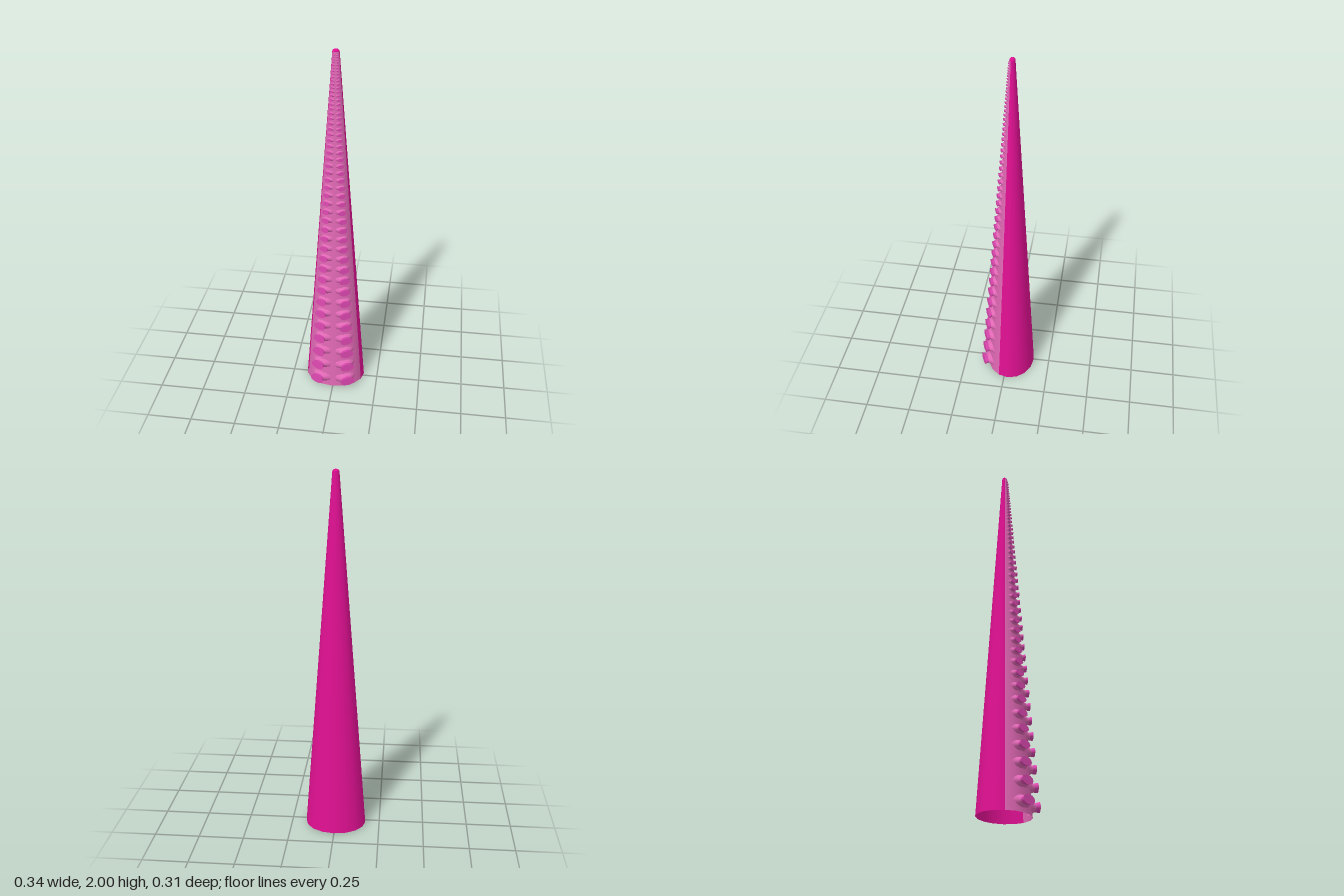
import * as THREE from 'three';

const HEIGHT = 2, BASE = 0.17, TIP = 0.018, DOME = 0.012;
const DEPTH = 0.81;       // front-to-back flattening of the cross-section
const AXIS_Z = -0.02;
const SIDE = THREE.MathUtils.degToRad(67.5); // where the two skins meet

const material = (name, color, side = THREE.FrontSide) => {
  const m = new THREE.MeshStandardMaterial({ color, side });
  m.name = name;
  return m;
};

export function createModel() {
  const magenta = material('magenta back skin', 0xe01092, THREE.DoubleSide);
  const pink = material('pale pink front skin', 0xe068b4, THREE.DoubleSide);
  const suckerPink = material('sucker pink', 0xdc48b0);

  const tentacle = new THREE.Group();
  tentacle.name = 'tentacle';
  const add = (parent, name, geometry, mat) => {
    const mesh = new THREE.Mesh(geometry, mat);
    mesh.name = name;
    parent.add(mesh);
    return mesh;
  };

  // Tapered skin, open at the bottom, in two arcs of a 16-sided tube
  const wall = HEIGHT - DOME;
  const skin = (name, start, length, segments, mat) => {
    const g = new THREE.CylinderGeometry(TIP, BASE, wall, segments, 24, true, start, length);
    g.translate(0, wall / 2, 0).scale(1, 1, DEPTH).translate(0, 0, AXIS_Z);
    add(tentacle, name, g, mat);
  };
  skin('frontSkin', -SIDE, 2 * SIDE, 6, pink);
  skin('backSkin', SIDE, 2 * Math.PI - 2 * SIDE, 10, magenta);

  // Rounded tip
  const dome = new THREE.SphereGeometry(TIP, 16, 5, 0, Math.PI * 2, 0, Math.PI / 2);
  dome.scale(1, DOME / TIP, DEPTH).translate(0, wall, AXIS_Z);
  add(tentacle, 'tip', dome, magenta);

  // Sucker parts at base size, pointing along +z and flattened in height
  const lathe = (points) => new THREE.LatheGeometry(points.map(([r, h]) => new THREE.Vector2(r, h)), 12)
    .rotateX(Math.PI / 2).scale(1, 0.6, 1);
  const skirt = lathe([[0.066, -0.012], [0.052, 0.001], [0.042, 0.01], [0.038, 0.02]]);
  const cup = lathe([[0.038, 0.02], [0.041, 0.03], [0.044, 0.041]]);
  const face = new THREE.CircleGeometry(0.044, 12).rotateZ(Math.PI / 2)
    .scale(1, 0.6, 1).translate(0, 0, 0.041);

  // Two columns of suckers, shrinking and closing up towards the tip
  let row = 0;
  for (let y = 0.055; y < 1.975; row++) {
    const k = 1 - (1 - TIP / BASE) * y / wall;
    for (const side of [-1, 1]) {
      const sucker = new THREE.Group();
      sucker.name = `${side > 0 ? 'left' : 'right'}Sucker${row + 1}`;
      add(sucker, 'suckerSkirt', skirt, pink);
      add(sucker, 'suckerCup', cup, suckerPink);
      add(sucker, 'suckerFace', face, suckerPink);
      sucker.position.set(side * 0.077 * k, y, AXIS_Z + 0.121 * k);
      sucker.rotation.set(-0.05, side * 0.43, 0, 'YXZ');
      sucker.scale.setScalar(k);
      tentacle.add(sucker);
    }
    y += 0.1 * k;
  }
  return tentacle;
}
